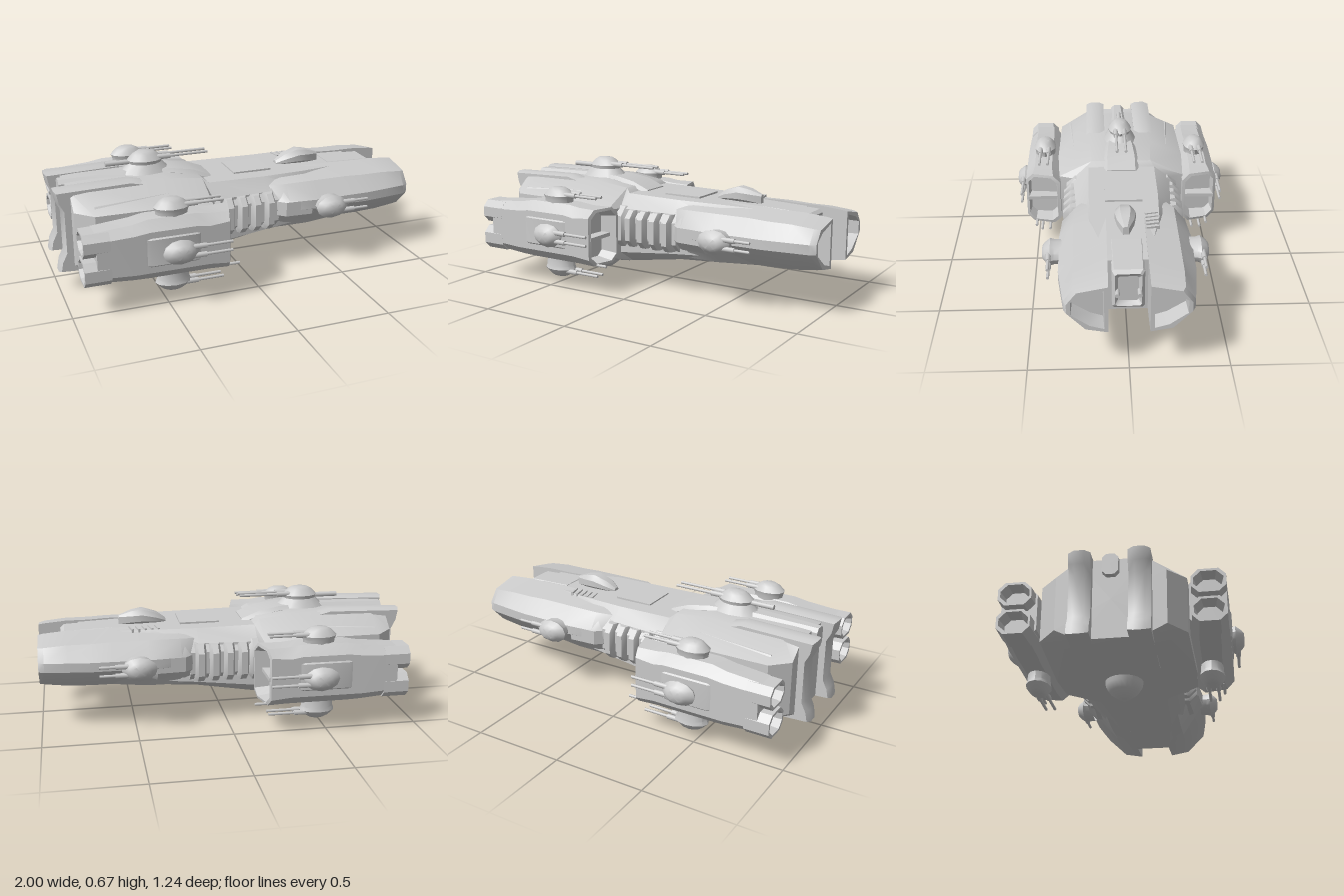
import * as THREE from 'three';
import { toCreasedNormals } from 'three/addons/utils/BufferGeometryUtils.js';

const mat = new THREE.MeshStandardMaterial({ color: 0xcccccc, side: THREE.DoubleSide });

// Skin over closed sections of [x, y, z] points, ordered top -> +z -> bottom -> -z.
// Sections may fold back inside to make a hollow mouth.
function loft(sections) {
  const n = sections[0].length, pos = [], idx = [];
  sections.forEach(s => s.forEach(p => pos.push(...p)));
  for (let i = 0; i < sections.length - 1; i++) {
    for (let j = 0; j < n; j++) {
      const a = i * n + j, b = i * n + (j + 1) % n;
      idx.push(a, b, b + n, a, b + n, a + n);
    }
  }
  [0, sections.length - 1].forEach((k, end) => {
    const c = pos.length / 3;
    pos.push(...[0, 1, 2].map(d => sections[k].reduce((t, p) => t + p[d], 0) / n));
    for (let j = 0; j < n; j++) {
      const a = k * n + j, b = k * n + (j + 1) % n;
      idx.push(c, end ? a : b, end ? b : a);
    }
  });
  const g = new THREE.BufferGeometry();
  g.setAttribute('position', new THREE.Float32BufferAttribute(pos, 3));
  g.setIndex(idx);
  return toCreasedNormals(g, 0.6);
}

// Chamfered rectangle section; slant sweeps the outer edge backwards
function oct(x, y0, y1, z0, z1, c, slant = 0) {
  return [[y1, z0 + c], [y1, z1 - c], [y1 - c, z1], [y0 + c, z1],
    [y0, z1 - c], [y0, z0 + c], [y0 + c, z0], [y1 - c, z0]]
    .map(([y, z]) => [x - slant * (z - z0), y, z]);
}

// Symmetric hull section: top height and half-width, side half-width and heights, bottom
function hullSection([x, top, zt, zs, yu, yl, zb, bot]) {
  const half = [[top, zt], [yu, zs], [yl, zs], [bot, zb]];
  return [...half, ...half.slice().reverse().map(([y, z]) => [y, -z])].map(([y, z]) => [x, y, z]);
}

// Reflected copy across z = 0, with the winding turned back
function mirrorZ(geo) {
  const g = (geo.index ? geo.toNonIndexed() : geo.clone()).scale(1, 1, -1);
  for (const a of Object.values(g.attributes)) {
    for (let i = 0; i < a.count; i += 3) {
      for (let d = 0; d < a.itemSize; d++) {
        const t = a.getComponent(i + 1, d);
        a.setComponent(i + 1, d, a.getComponent(i + 2, d));
        a.setComponent(i + 2, d, t);
      }
    }
  }
  return g;
}

const box = (x0, x1, y0, y1, z0, z1) => new THREE.BoxGeometry(x1 - x0, y1 - y0, z1 - z0)
  .translate((x0 + x1) / 2, (y0 + y1) / 2, (z0 + z1) / 2);

const rod = (x0, x1, y, z, r) => new THREE.CylinderGeometry(r, r, x1 - x0, 8)
  .rotateZ(-Math.PI / 2).translate((x0 + x1) / 2, y, z);

const points = list => list.map(p => new THREE.Vector2(...p));

export function createModel() {
  const ship = new THREE.Group();
  ship.name = 'spaceship';
  const add = (name, geo) => {
    const m = new THREE.Mesh(geo, mat);
    m.name = name;
    ship.add(m);
  };
  const pair = (name, geo) => {
    add(name + 'Left', geo);
    add(name + 'Right', mirrorZ(geo));
  };

  // Main hull
  add('hull', loft([
    [-0.92, 0.55, 0.17, 0.27, 0.47, 0.18, 0.15, 0.12],
    [-0.83, 0.555, 0.18, 0.36, 0.47, 0.17, 0.17, 0.1],
    [-0.4, 0.56, 0.18, 0.37, 0.47, 0.16, 0.17, 0.095],
    [-0.2, 0.535, 0.17, 0.36, 0.44, 0.17, 0.16, 0.11],
    [-0.17, 0.51, 0.19, 0.28, 0.44, 0.19, 0.16, 0.115],
    [0.15, 0.505, 0.19, 0.26, 0.44, 0.22, 0.15, 0.165],
    [0.4, 0.505, 0.18, 0.22, 0.43, 0.23, 0.14, 0.18],
    [0.78, 0.49, 0.1, 0.12, 0.43, 0.25, 0.1, 0.2]
  ].map(hullSection)));

  // Raised spine and deck plates
  add('spine', loft([
    [-0.95, 0.565, 0.04], [-0.6, 0.575, 0.05], [-0.34, 0.575, 0.09], [-0.22, 0.555, 0.1], [-0.12, 0.515, 0.1]
  ].map(([x, y, w]) => oct(x, 0.45, y, -w, w, 0.02))));
  add('deckPlate', box(0.01, 0.23, 0.48, 0.515, -0.1, 0.1));
  pair('shoulderPlate', loft([
    [-0.82, 0.5, 0.33], [-0.4, 0.515, 0.3], [-0.22, 0.49, 0.22]
  ].map(([x, y, w]) => oct(x, 0.42, y, 0.16, w, 0.025))));
  for (let i = 0; i < 5; i++) {
    add('deckVent', box(-0.006, 0.006, 0.48, 0.512, -0.035, 0.035)
      .rotateY(0.2).translate(0.36 + i * 0.035, 0, -0.14));
  }

  // C-shaped stern ridges
  const ridge = new THREE.Shape(points([[-0.99, 0.555], [-0.98, 0.5], [-0.955, 0.45], [-0.955, 0.22],
    [-0.98, 0.17], [-0.99, 0.12], [-0.6, 0.1], [-0.5, 0.2], [-0.5, 0.54], [-0.6, 0.565]]));
  pair('sternRidge', toCreasedNormals(new THREE.ExtrudeGeometry(ridge, { depth: 0.05, bevelEnabled: true,
    bevelSize: 0.01, bevelThickness: 0.03, bevelSegments: 1 }), 0.6).translate(0, 0, 0.12));

  // Forked bow prongs with recessed mouths
  const prong = (x, w, top, bot, k = 0) => [[top - k, 0.1 + k], [top - 0.03 - k, Math.min(0.27, w - 0.05) - k],
    [0.39 + k * 0.5, w - k], [0.34 - k * 0.5, w - k], [bot + 0.02 + k, Math.min(0.21, w - 0.04) - k],
    [bot + k, 0.1 + k]].map(([y, z]) => [x, y, z]);
  pair('bowProng', loft([
    prong(0.14, 0.27, 0.49, 0.19), prong(0.25, 0.335, 0.505, 0.18), prong(0.42, 0.35, 0.505, 0.18),
    prong(0.62, 0.345, 0.505, 0.2), prong(0.72, 0.345, 0.5, 0.2), prong(0.85, 0.33, 0.5, 0.205),
    prong(0.97, 0.315, 0.49, 0.22), prong(1, 0.3, 0.485, 0.225),
    prong(1, 0.3, 0.485, 0.225, 0.02), prong(0.9, 0.3, 0.485, 0.225, 0.025)
  ]));
  pair('bowFlankPlate', loft([[0.17, 0.28], [0.23, 0.335], [0.38, 0.345], [0.42, 0.3]]
    .map(([x, w]) => oct(x, 0.26, 0.44, 0.18, w, 0.05))));

  // Bridge block between the prongs
  add('bridge', loft([oct(0.6, 0.24, 0.5, -0.085, 0.085, 0.01), oct(0.86, 0.27, 0.49, -0.08, 0.08, 0.01),
    oct(0.88, 0.29, 0.475, -0.065, 0.065, 0.01), oct(0.86, 0.31, 0.45, -0.05, 0.05, 0.008)]));
  for (const z of [-0.055, 0.055]) add('bridgeProbe', rod(0.82, 0.91, 0.37, z, 0.012));

  // Ribbed flanks of the neck
  pair('ribBed', loft([oct(-0.19, 0.21, 0.455, 0.15, 0.32, 0.05), oct(-0.14, 0.22, 0.455, 0.15, 0.32, 0.05),
    oct(-0.12, 0.23, 0.45, 0.15, 0.298, 0.05), oct(0.2, 0.23, 0.45, 0.15, 0.298, 0.05)]));
  for (let i = 0; i < 4; i++) {
    const x = -0.09 + i * 0.078;
    pair('neckRib', loft([[-0.034, 0.29], [-0.016, 0.332], [0.016, 0.332], [0.034, 0.29]]
      .map(([dx, w]) => oct(x + dx, 0.235, 0.44, 0.2, w, 0.04))));
  }

  // Side pods with swept intakes
  pair('pod', loft([
    oct(-0.87, 0.18, 0.45, 0.37, 0.55, 0.04), oct(-0.68, 0.165, 0.465, 0.36, 0.555, 0.045),
    oct(-0.6, 0.16, 0.48, 0.355, 0.555, 0.05), oct(-0.35, 0.16, 0.48, 0.355, 0.555, 0.05),
    oct(-0.25, 0.16, 0.47, 0.355, 0.555, 0.05, 0.2), oct(-0.135, 0.16, 0.47, 0.355, 0.555, 0.04, 0.25),
    oct(-0.135, 0.175, 0.455, 0.372, 0.54, 0.035, 0.25), oct(-0.23, 0.19, 0.44, 0.38, 0.53, 0.03, 0.1)
  ]));
  pair('intakeDivider', box(-0.26, -0.175, 0.302, 0.322, 0.365, 0.545));
  pair('podProbe', rod(-0.25, -0.11, 0.165, 0.5, 0.008));
  pair('podSidePlate', loft([[-0.66, 0.54], [-0.6, 0.562], [-0.36, 0.562], [-0.3, 0.54]]
    .map(([x, w]) => oct(x, 0.22, 0.42, 0.45, w, 0.03))));

  // Twin thruster nozzles on each pod
  for (const [y0, y1] of [[0.17, 0.3], [0.325, 0.45]]) {
    pair('thruster', loft([
      oct(-0.86, y0 + 0.025, y1 - 0.025, 0.41, 0.525, 0.03), oct(-0.935, y0 + 0.012, y1 - 0.012, 0.395, 0.54, 0.035),
      oct(-0.935, y0, y1, 0.385, 0.552, 0.035), oct(-0.8, y0, y1, 0.375, 0.552, 0.035)]));
  }

  // Gun turret: rounded housing and twin barrels, tilted about x, then placed
  const turret = (x, y, z, tilt, s = 1, reach = 0.27) => {
    const profile = points([[0.058, -0.03], [0.06, 0.01], [0.066, 0.03], [0.045, 0.06], [0.03, 0.072], [0, 0.075]]
      .map(p => p.map(v => v * s)));
    const body = toCreasedNormals(new THREE.LatheGeometry(profile, 12).scale(1.45, 1, 1), 0.6);
    const parts = [['turretHousing', body]];
    for (const dz of [-0.024, 0.024]) {
      parts.push(['turretBarrel', rod(0.03, reach, 0.038 * s, dz * s, 0.008)]);
      parts.push(['turretSleeve', rod(0.03, 0.13 * s, 0.038 * s, dz * s, 0.014 * s)]);
    }
    return parts.map(([n, g]) => [n, g.rotateX(tilt).translate(x, y, z)]);
  };
  [
    [-0.46, 0.485, 0.45, 0], [-0.46, 0.13, 0.45, Math.PI], [-0.45, 0.31, 0.547, Math.PI / 2],
    [0.48, 0.355, 0.362, Math.PI / 2, 0.98, 0.21]
  ].forEach(t => turret(...t).forEach(([n, g]) => pair(n, g)));

  // Dorsal turret on a pedestal, with fore and aft barrels
  add('dorsalPedestal', new THREE.CylinderGeometry(0.06, 0.1, 0.06, 12).scale(1.5, 1, 1).translate(-0.47, 0.58, 0));
  turret(-0.47, 0.592, 0, 0, 1.05, 0.35).forEach(([n, g]) => add(n, g));
  add('dorsalTailBarrel', rod(-0.69, -0.5, 0.615, 0, 0.014));

  // Bow deck turret, drawn out towards the stern
  add('bowTurret', loft([[0.3, 0.52, 0.02], [0.35, 0.555, 0.045], [0.43, 0.58, 0.055], [0.49, 0.57, 0.045],
    [0.56, 0.545, 0.015]].map(([x, y, w]) => oct(x, 0.49, y, -w, w, w * 0.5))));

  // Ventral dome
  add('ventralDome', new THREE.LatheGeometry(points([[0, 0.003], [0.03, 0.005], [0.075, 0.04],
    [0.095, 0.075], [0.105, 0.13]]), 20).translate(-0.47, 0, 0));

  return ship;
}
